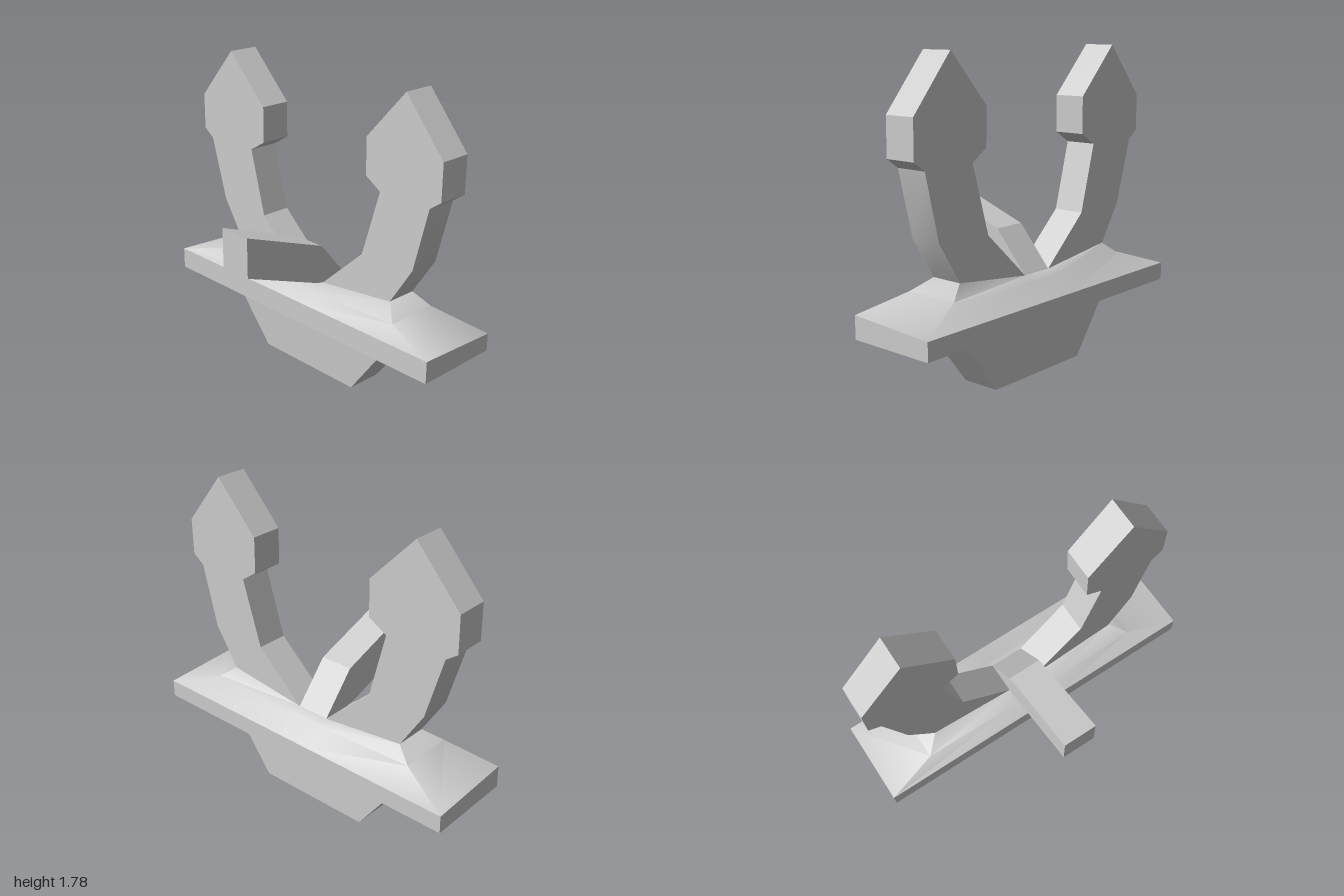
import * as THREE from 'three';
import { toCreasedNormals } from 'three/addons/utils/BufferGeometryUtils.js';

const material = new THREE.MeshStandardMaterial({ color: 0xcccccc, side: THREE.DoubleSide });

function addPart(group, name, geometry, crease = 0.5) {
  const mesh = new THREE.Mesh(toCreasedNormals(geometry, crease), material);
  mesh.name = name;
  group.add(mesh);
}

// One eight-point ring: outer and inner half widths, front and back depth,
// heights of the outer and inner points, and a drop towards the back.
function ring({ xo, xi = 0.1, zf, zb, yo, yi = yo, drop = 0 }) {
  const xs = [-xo, -xi, xi, xo], ys = [yo, yi, yi, yo];
  const front = xs.map((x, i) => [x, ys[i], zf]);
  const back = xs.map((x, i) => [x, ys[i] - drop, zb]).reverse();
  return [...front, ...back];
}

// Skin between rings from bottom to top, with optional caps.
function loft(specs, capBottom, capTop) {
  const points = specs.flatMap(ring);
  const index = [];
  const quad = (a, b, c, d) => index.push(a, b, c, a, c, d);
  for (let r = 0; r < specs.length - 1; r++) {
    for (let i = 0; i < 8; i++) {
      const a = r * 8 + i, b = r * 8 + (i + 1) % 8;
      quad(a, b, b + 8, a + 8);
    }
  }
  for (let i = 0; i < 3; i++) {
    const t = (specs.length - 1) * 8;
    if (capBottom) quad(7 - i, 6 - i, i + 1, i);
    if (capTop) quad(t + i, t + i + 1, t + 6 - i, t + 7 - i);
  }
  const geometry = new THREE.BufferGeometry();
  geometry.setAttribute('position', new THREE.Float32BufferAttribute(points.flat(), 3));
  geometry.setIndex(index);
  geometry.computeVertexNormals();
  return geometry;
}

function extrude(outline, depth) {
  const shape = new THREE.Shape(outline.map(([x, y]) => new THREE.Vector2(x, y)));
  return new THREE.ExtrudeGeometry(shape, { depth, bevelEnabled: false });
}

export function createModel() {
  const group = new THREE.Group();

  const keelTop = { xo: 0.61, zf: -0.065, zb: -0.305, yo: 0.34 };
  const rimBottom = { xo: 1, zf: 0.055, zb: -0.455, yo: 0.36 };
  const rimTop = { xo: 1, zf: 0.055, zb: -0.455, yo: 0.487, drop: 0.025 };

  // Tapered block below the plate
  addPart(group, 'keel', loft([
    { xo: 0.355, zf: -0.085, zb: -0.305, yo: 0 }, keelTop,
  ], true, false));

  // Wide plate with a shallow sloping underside
  addPart(group, 'basePlate', loft([keelTop, rimBottom, rimTop], false, false), 0.2);

  // Mound rising from the plate to the roots of the arms
  addPart(group, 'mound', loft([
    rimTop,
    { xo: 0.7, zf: -0.02, zb: -0.335, yo: 0.56, yi: 0.54 },
    { xo: 0.608, zf: -0.103, zb: -0.287, yo: 0.63, yi: 0.57 },
  ], false, true), 0.9);

  // Two curved arms with pointed heads, one slightly wider than the other
  const arms = {
    leftArm: [[0.1, 0.57], [0.605, 0.63], [0.75, 0.855], [0.84, 1.22], [0.91, 1.27], [0.91, 1.48],
      [0.66, 1.78], [0.405, 1.5], [0.41, 1.29], [0.51, 1.225], [0.395, 0.84]],
    rightArm: [[-0.1, 0.57], [-0.4, 0.84], [-0.505, 1.225], [-0.395, 1.29], [-0.395, 1.5],
      [-0.67, 1.78], [-0.935, 1.48], [-0.935, 1.27], [-0.865, 1.22], [-0.755, 0.855], [-0.61, 0.63]],
  };
  for (const [name, outline] of Object.entries(arms)) {
    addPart(group, name, extrude(outline, 0.185).translate(0, 0, -0.288));
  }

  // Bar leaning forward from the middle, outlined in depth and height
  const bar = extrude([[0.455, 1], [-0.09, 0.8], [-0.287, 0.57], [-0.28, 0.54],
    [-0.06, 0.58], [0.455, 0.77]], 0.2);
  addPart(group, 'frontBar', bar.rotateY(-Math.PI / 2).translate(0.1, 0, 0));

  return group;
}
